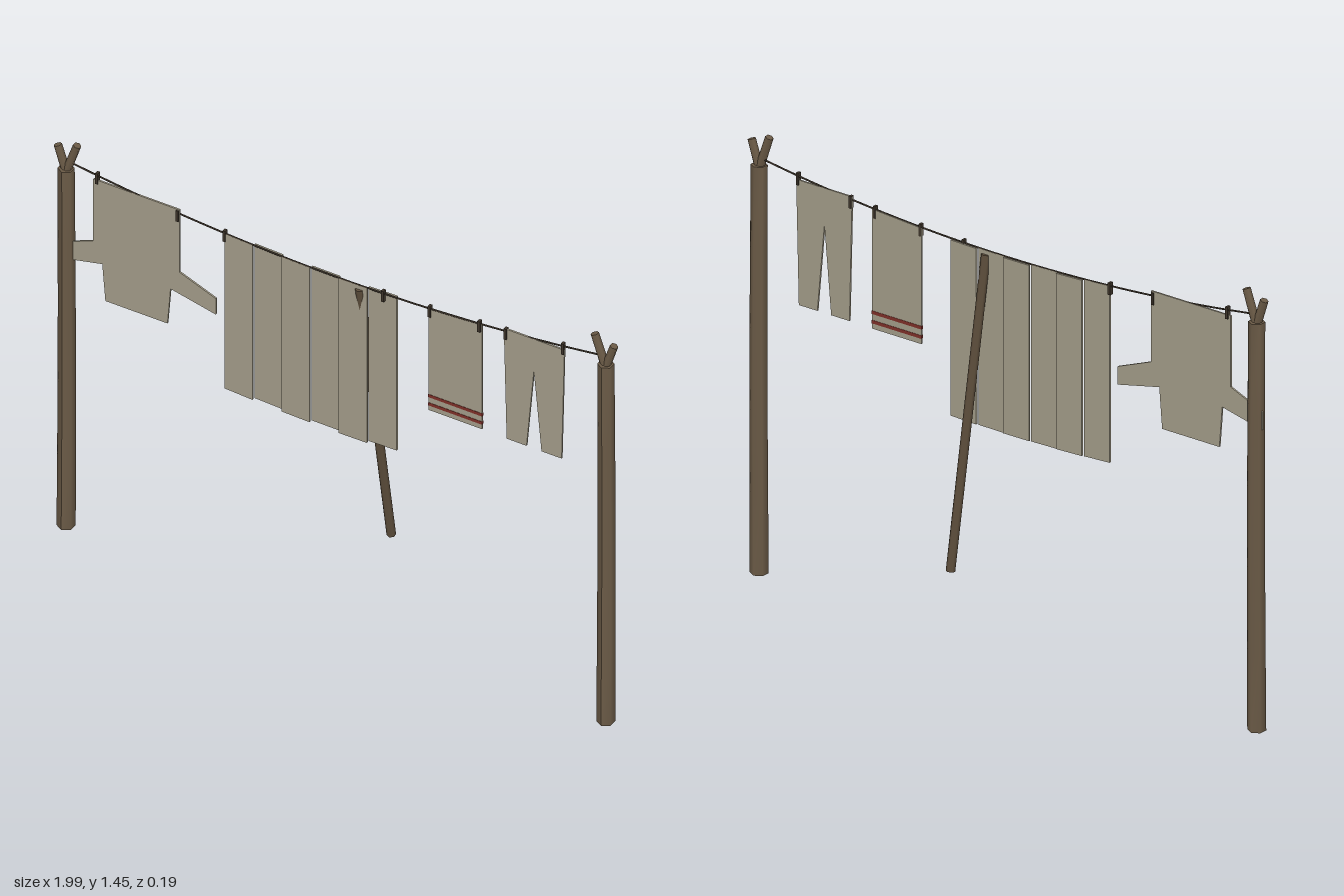
import * as THREE from 'three';

const mat = (name, color) => {
  const m = new THREE.MeshStandardMaterial({ color });
  m.name = name;
  return m;
};

const LINE_Z = 0.06;
// height of the sagging line at x
const sag = (x) => 1.305 + 0.07 * (x / 0.95) ** 2;

export function createModel() {
  const wood = mat('post wood', 0x6a5a46);
  const darkWood = mat('prop wood', 0x5c4d3b);
  const cloth = mat('linen', 0xa19a87);
  const red = mat('red stripe', 0x7c2e27);
  const dark = mat('rope and pegs', 0x3d342a);

  const root = new THREE.Group();
  root.name = 'washingLine';
  const add = (parent, name, geo, material, x = 0, y = 0, z = 0) => {
    const mesh = new THREE.Mesh(geo, material);
    mesh.name = name;
    mesh.position.set(x, y, z);
    parent.add(mesh);
    return mesh;
  };

  // straight round stick between two points
  const stick = (parent, name, a, b, r0, r1, material) => {
    const from = new THREE.Vector3(...a), to = new THREE.Vector3(...b);
    const dir = to.clone().sub(from);
    const mid = from.clone().add(to).multiplyScalar(0.5);
    const m = add(parent, name, new THREE.CylinderGeometry(r1, r0, dir.length(), 6), material, mid.x, mid.y, mid.z);
    m.quaternion.setFromUnitVectors(new THREE.Vector3(0, 1, 0), dir.normalize());
    return m;
  };

  // flat cloth cut from an outline
  const sheet = (parent, name, pts, z = LINE_Z, depth = 0.006) => {
    const shape = new THREE.Shape(pts.map(([x, y]) => new THREE.Vector2(x, y)));
    const geo = new THREE.ExtrudeGeometry(shape, { depth, bevelEnabled: false });
    return add(parent, name, geo, cloth, 0, 0, z - depth / 2);
  };

  // forked posts, slightly bowed
  for (const s of [-1, 1]) {
    const post = new THREE.Group();
    post.name = s > 0 ? 'leftPost' : 'rightPost';
    root.add(post);
    const geo = new THREE.CylinderGeometry(0.026, 0.029, 1.35, 6, 5);
    const p = geo.attributes.position;
    for (let i = 0; i < p.count; i++) {
      const t = p.getY(i) / 1.35 + 0.5;
      p.setZ(i, p.getZ(i) - 0.004 * Math.sin(t * Math.PI));
    }
    geo.computeVertexNormals();
    add(post, 'trunk', geo, wood, s * 0.953, 0.675, 0.064);
    stick(post, 'outerProng', [s * 0.95, 1.33, 0.064], [s * 0.982, 1.428, 0.064], 0.014, 0.013, wood);
    stick(post, 'innerProng', [s * 0.955, 1.33, 0.064], [s * 0.914, 1.45, 0.064], 0.014, 0.013, wood);
  }

  // sagging rope
  const ropePts = [];
  for (let i = 0; i <= 12; i++) {
    const x = -0.95 + (1.9 * i) / 12;
    ropePts.push(new THREE.Vector3(x, sag(x), LINE_Z));
  }
  add(root, 'rope', new THREE.TubeGeometry(new THREE.CatmullRomCurve3(ropePts), 36, 0.003, 5), dark);

  // shirt
  sheet(root, 'shirt', [
    [-0.858, 1.345], [-0.858, 1.11], [-0.98, 1.06], [-0.98, 1.0], [-0.826, 1.035], [-0.815, 0.9],
    [-0.596, 0.9], [-0.585, 1.035], [-0.425, 1.0], [-0.425, 1.06], [-0.553, 1.11], [-0.553, 1.345],
  ]);

  // bed sheet in six staggered folds
  const bed = new THREE.Group();
  bed.name = 'bedSheet';
  root.add(bed);
  for (let i = 0; i < 6; i++) {
    const a = -0.395 + i * 0.101, b = a + 0.099;
    const drop = i % 2 ? 0.581 : 0.584;
    sheet(bed, 'fold' + (i + 1), [[a, sag(a) - drop], [b, sag(b) - drop], [b, sag(b)], [a, sag(a)]],
      i % 2 ? 0.052 : 0.06);
  }

  // towel with stripes on both faces
  const towel = new THREE.Group();
  towel.name = 'towel';
  root.add(towel);
  sheet(towel, 'towelCloth', [[0.325, 0.93], [0.514, 0.93], [0.514, 1.325], [0.325, 1.313]], 0.058);
  for (const y of [0.984, 0.953])
    add(towel, 'stripe', new THREE.BoxGeometry(0.19, 0.011, 0.008), red, 0.4195, y, 0.058);

  // trousers
  sheet(root, 'trousers', [
    [0.592, 1.343], [0.602, 0.93], [0.672, 0.93], [0.698, 1.222],
    [0.725, 0.93], [0.796, 0.93], [0.806, 1.343],
  ]);

  // clothes pegs
  for (const x of [-0.845, -0.56, -0.395, 0.165, 0.33, 0.505, 0.598, 0.8])
    add(root, 'peg', new THREE.BoxGeometry(0.009, 0.04, 0.014), dark, x, sag(x) - 0.008, LINE_Z);

  // leaning prop pole
  stick(root, 'propPole', [0.109, 0.285, -0.079], [0.081, 1.292, 0.059], 0.0145, 0.0145, darkWood);

  return root;
}
